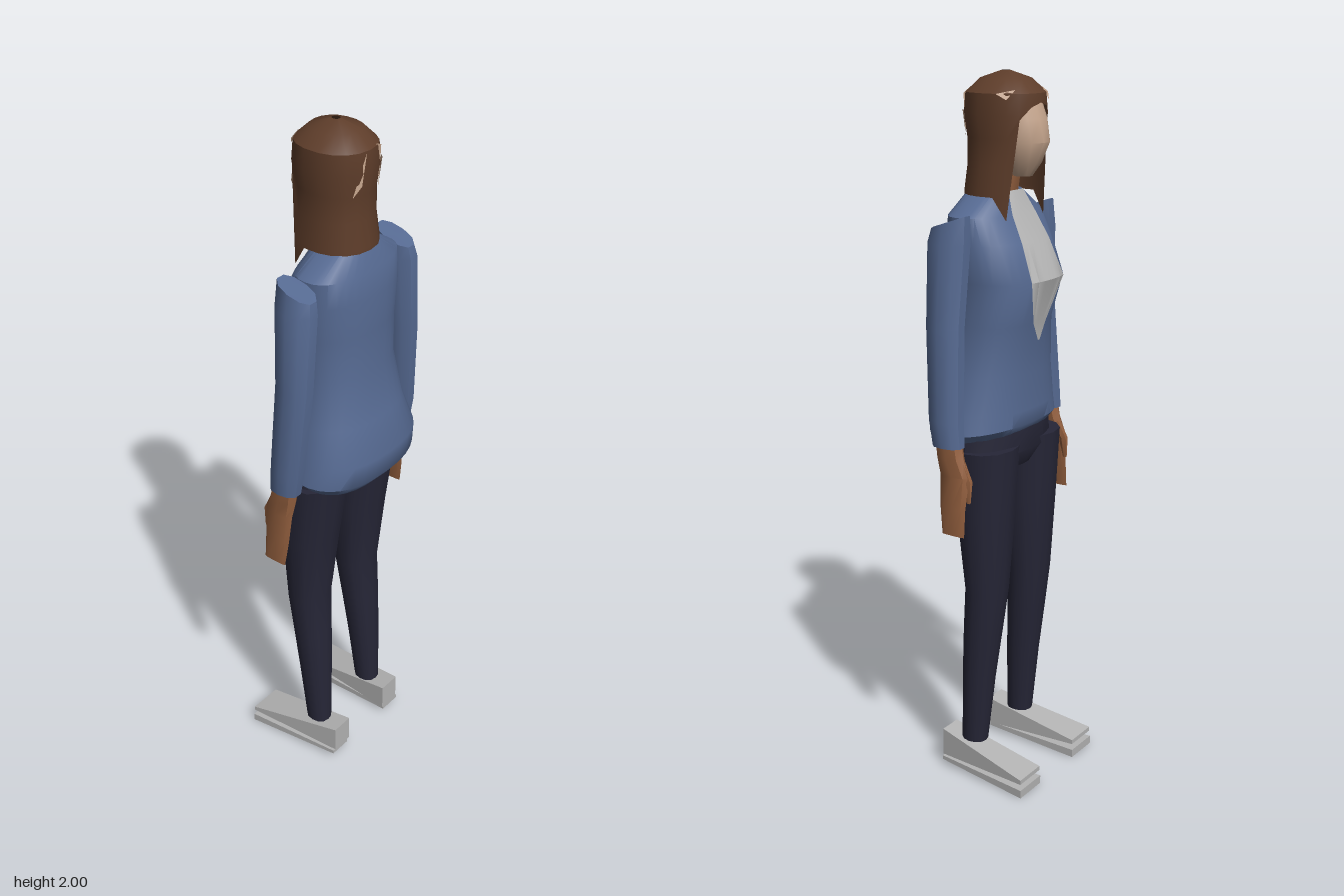
import * as THREE from 'three';
import { toCreasedNormals } from 'three/addons/utils/BufferGeometryUtils.js';

function material(name, color, side = THREE.FrontSide) {
  const m = new THREE.MeshStandardMaterial({ color, side });
  m.name = name;
  return m;
}

// Skin a grid of points (rows run bottom to top), optionally closed round and capped
function skin(rows, closed, crease = 0.7) {
  const pos = [];
  const put = (...pts) => pts.forEach((p) => pos.push(p.x, p.y, p.z));
  const n = rows[0].length;
  for (let r = 0; r < rows.length - 1; r++) {
    for (let i = 0; i < (closed ? n : n - 1); i++) {
      const j = (i + 1) % n;
      put(rows[r][i], rows[r + 1][i], rows[r][j]);
      put(rows[r][j], rows[r + 1][i], rows[r + 1][j]);
    }
  }
  if (closed) {
    [rows[0], rows[rows.length - 1]].forEach((row, top) => {
      const c = new THREE.Vector3();
      row.forEach((p) => c.addScaledVector(p, 1 / n));
      row.forEach((p, i) => {
        const q = row[(i + 1) % n];
        top ? put(c, q, p) : put(c, p, q);
      });
    });
  }
  const g = new THREE.BufferGeometry();
  g.setAttribute('position', new THREE.Float32BufferAttribute(pos, 3));
  return toCreasedNormals(g, crease);
}

// Rounded horizontal section; tilt raises the -z edge and lowers the +z edge
const bend = (v, p) => Math.sign(v) * Math.abs(v) ** p;
function ring([y, cx, cz, rx, rz, tilt = 0], sides, power = 1) {
  return Array.from({ length: sides }, (_, i) => {
    const t = (i / sides) * Math.PI * 2;
    const s = Math.sin(t);
    return new THREE.Vector3(cx + rx * bend(Math.cos(t), power), y - tilt * s, cz + rz * bend(s, power));
  });
}
const loft = (list, sides, power) => skin(list.map((r) => ring(r, sides, power)), true);
const mirrored = (list, s) => list.map(([y, x, ...rest]) => [y, x * s, ...rest]);

// Linear lookup in rows of [y, value], sorted by rising y
function lookup(table, y) {
  for (let i = 1; i < table.length; i++) {
    const [y0, a] = table[i - 1], [y1, b] = table[i];
    if (y <= y1) return a + ((b - a) * Math.max(0, y - y0)) / (y1 - y0);
  }
  return table[table.length - 1][1];
}

// Box whose four heel and toe corners are set separately: [z, x, halfWidth, yBottom, yTop]
function wedge(heel, toe, s) {
  const g = new THREE.BoxGeometry(1, 1, 1).toNonIndexed();
  const p = g.attributes.position;
  for (let i = 0; i < p.count; i++) {
    const [z, x, w, lo, hi] = p.getZ(i) > 0 ? heel : toe;
    p.setXYZ(i, s * x + Math.sign(p.getX(i)) * w, p.getY(i) > 0 ? hi : lo, z);
  }
  g.computeVertexNormals();
  return g;
}

export function createModel() {
  const model = new THREE.Group();
  const jacket = material('jacket blue', 0x566a92);
  const trousers = material('trouser navy', 0x262637);
  const hair = material('hair brown', 0x5e3d2a, THREE.DoubleSide);
  const faceSkin = material('face skin', 0xc4a48c, THREE.DoubleSide);
  const bodySkin = material('hand skin', 0x94603f);
  const grey = material('light grey', 0xb4b4b4, THREE.DoubleSide);
  const add = (name, geometry, mat) => {
    const mesh = new THREE.Mesh(geometry, mat);
    mesh.name = name;
    model.add(mesh);
  };

  // Jacket body: [y, back z, front z, half width, tilt]
  const torso = [
    [1.01, 0.14, -0.075, 0.18, 0.025], [1.045, 0.18, -0.095, 0.215, 0.015], [1.1, 0.19, -0.095, 0.205],
    [1.2, 0.157, -0.095, 0.178], [1.34, 0.135, -0.105, 0.155], [1.46, 0.135, -0.14, 0.165],
    [1.56, 0.135, -0.095, 0.17], [1.63, 0.125, -0.055, 0.165], [1.69, 0.1, -0.03, 0.075],
  ].map(([y, b, f, w, tilt]) => [y, 0, (b + f) / 2, w, (b - f) / 2, tilt]);
  add('jacketBody', loft(torso, 32, 0.85), jacket);

  // Shirt front: strip laid on the jacket surface
  const widths = [[1.29, 0.004], [1.34, 0.03], [1.46, 0.078], [1.56, 0.066], [1.63, 0.055], [1.69, 0.035]];
  const at = (y, k) => lookup(torso.map((r) => [r[0], r[k]]), y);
  const shirtRows = widths.map(([y, w]) => Array.from({ length: 7 }, (_, i) => {
    const x = w * (i / 3 - 1);
    const c = Math.abs(x / at(y, 3)) ** (1 / 0.85);
    const z = at(y, 2) - at(y, 4) * Math.sqrt(1 - c * c) ** 0.85;
    return new THREE.Vector3(x, y + 0.002, z - 0.006);
  }));
  add('shirtFront', skin(shirtRows, false), grey);

  // Neck and face
  add('neck', loft([[1.62, 0, 0.03, 0.055, 0.05], [1.8, 0, 0, 0.045, 0.05]], 10), bodySkin);
  add('face', loft([
    [1.73, 0, -0.055, 0.025, 0.025], [1.765, 0, -0.05, 0.053, 0.055], [1.82, 0, -0.04, 0.07, 0.09],
    [1.88, 0, -0.03, 0.076, 0.088], [1.94, 0, -0.02, 0.068, 0.075],
  ], 14), faceSkin);

  // Long hair: one sheet with a hem high over the face and low strands beside it
  const radii = [[1.62, 1.02], [1.69, 1], [1.76, 0.92], [1.83, 0.92], [1.89, 1], [1.945, 0.96], [1.98, 0.62], [2, 0.1]];
  const hairPoint = (t, y, out = 0) => {
    const r = lookup(radii, y);
    return new THREE.Vector3((0.1 * r + out) * bend(Math.cos(t), 0.9), y, (0.112 * r + out) * bend(Math.sin(t), 0.9));
  };
  const rad = THREE.MathUtils.degToRad;
  const hem = (t) => {
    const s = Math.sin(t);
    return s < -0.55 ? 1.84 + 0.18 * (-0.55 - s) : s < -0.3 ? 1.62 : 1.68;
  };
  const hairRows = radii.map(([y]) => Array.from({ length: 19 }, (_, i) => {
    const t = rad(-90 + i * 20);
    return hairPoint(t, Math.max(y, hem(t)));
  }));
  add('hair', skin(hairRows, false, 0.5), hair);

  // Pale scalp flecks: corners as [degrees, y]
  const flecks = [
    [[98, 1.945], [120, 1.83], [106, 1.86]], [[74, 1.95], [60, 1.94], [62, 1.835]],
    [[50, 1.9], [40, 1.9], [48, 1.83]], [[-15, 1.945], [-45, 1.955], [-30, 1.93]],
    [[-112, 1.96], [-130, 1.945], [-118, 1.925]],
  ];
  for (const corners of flecks) {
    const g = new THREE.BufferGeometry().setFromPoints(corners.map(([d, y]) => hairPoint(rad(d), y, 0.004)));
    g.computeVertexNormals();
    add('scalpFleck', g, faceSkin);
  }

  add('trouserSeat', loft([[0.93, 0, 0, 0.1, 0.06], [0.98, 0, 0.005, 0.19, 0.092], [1.06, 0, 0.01, 0.19, 0.09]], 16), trousers);

  // Limbs: [y, x, z, half width, half depth, tilt]
  for (const s of [1, -1]) {
    const side = s > 0 ? 'left' : 'right';
    const limb = (name, list, sides, mat) => add(side + name, loft(mirrored(list, s), sides, 0.9), mat);
    limb('Sleeve', [
      [1.03, 0.242, 0.022, 0.032, 0.047], [1.1, 0.24, 0.03, 0.04, 0.05], [1.35, 0.222, 0.043, 0.04, 0.055],
      [1.57, 0.206, 0.04, 0.043, 0.061], [1.625, 0.2, 0.038, 0.036, 0.056, 0.02],
    ], 10, jacket);
    limb('Hand', [
      [0.785, 0.262, -0.005, 0.003, 0.036], [0.86, 0.256, 0, 0.009, 0.041], [0.95, 0.246, 0, 0.016, 0.047],
      [1, 0.242, 0.015, 0.026, 0.042], [1.05, 0.24, 0.022, 0.028, 0.04],
    ], 8, bodySkin);
    limb('Thumb', [[0.88, 0.245, -0.045, 0.003, 0.006], [0.94, 0.242, -0.04, 0.01, 0.014], [0.99, 0.24, -0.015, 0.012, 0.014]], 6, bodySkin);
    limb('Leg', [
      [0.1, 0.118, 0.028, 0.033, 0.038], [0.3, 0.115, 0.015, 0.05, 0.045], [0.45, 0.112, 0.002, 0.06, 0.052],
      [0.58, 0.109, -0.01, 0.07, 0.056], [0.8, 0.106, -0.005, 0.088, 0.075], [1, 0.104, 0.003, 0.1, 0.095],
    ], 12, trousers);
    // Shoe: tapered upper over a thin separate sole
    add(side + 'ShoeUpper', wedge([0.12, 0.118, 0.034, 0.03, 0.112], [-0.178, 0.14, 0.05, 0.042, 0.055], s), grey);
    add(side + 'ShoeSole', wedge([0.118, 0.125, 0.034, 0.016, 0.028], [-0.18, 0.14, 0.052, 0, 0.024], s), grey);
  }
  return model;
}
